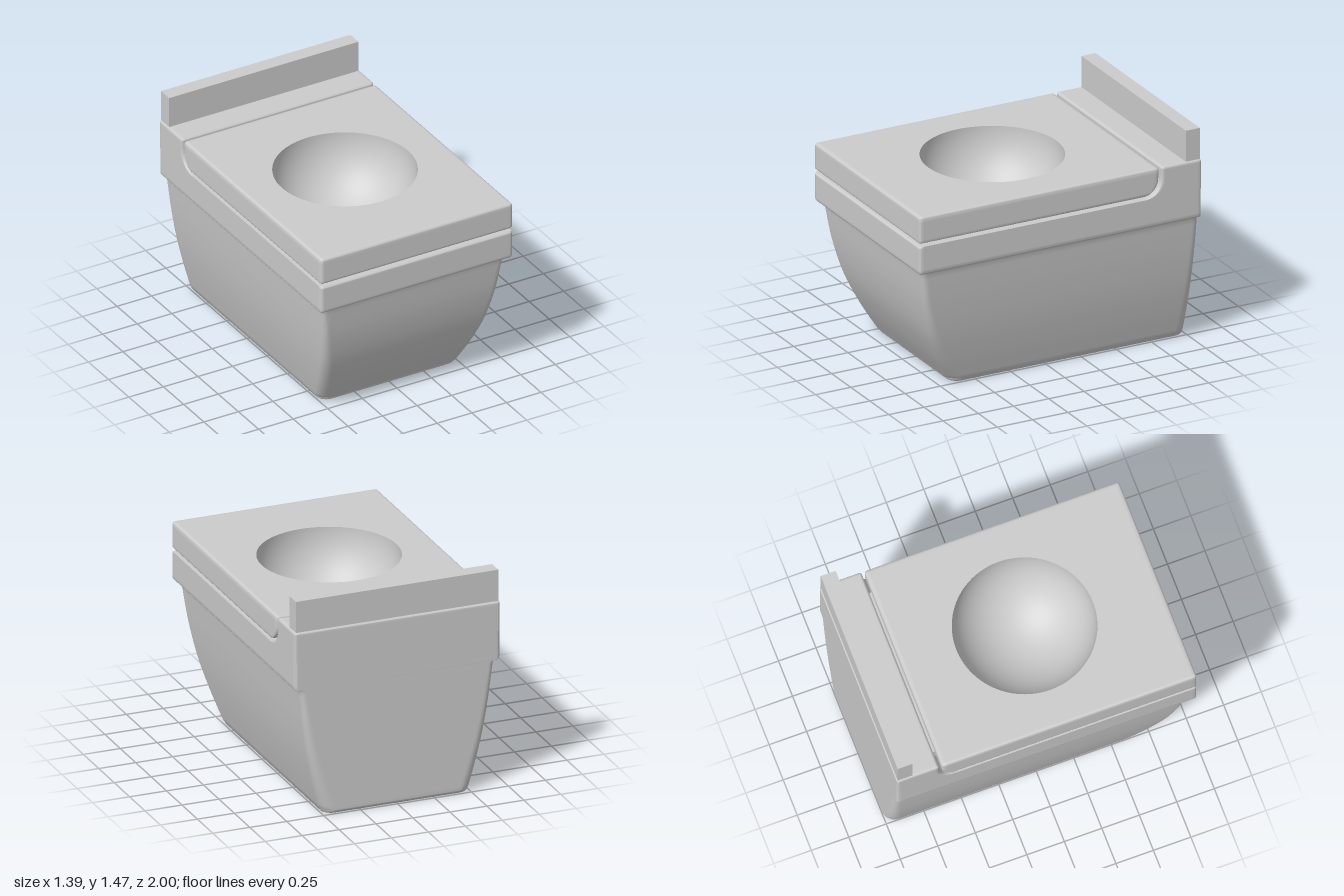
import * as THREE from 'three';
import { mergeGeometries, toCreasedNormals } from 'three/addons/utils/BufferGeometryUtils.js';

const grey = new THREE.MeshStandardMaterial({ color: 0xcccccc, side: THREE.DoubleSide });
const W = 0.695;                                   // half width of rim and lid
const DISH = { z: 0.11, r: 0.455, top: 1.26 };     // round hollow in the lid

// Horizontal rounded rectangle: half width, front z, back z, corner radius, inset
const row = (y, w, zf, zb, r = 0.02, d = 0) =>
  ({ y, w: w - d, zf: zf - d, zb: zb + d, r: Math.max(r - d, 0.004) });

// Outline points [x, z]; an extra point beside each corner keeps the flats flat
function outline({ w, zf, zb, r }) {
  const pts = [], N = 6, s = 0.012;
  [[1, 1], [-1, 1], [-1, -1], [1, -1]].forEach(([sx, sz], k) => {
    const cx = sx * (w - r), cz = sz > 0 ? zf - r : zb + r, a0 = k * Math.PI / 2;
    const ux = Math.cos(a0), uz = Math.sin(a0);
    pts.push([cx + r * ux + s * uz, cz + r * uz - s * ux]);
    for (let i = 0; i <= N; i++) {
      const a = a0 + (i / N) * Math.PI / 2;
      pts.push([cx + r * Math.cos(a), cz + r * Math.sin(a)]);
    }
    pts.push([cx - r * uz - s * ux, cz + r * ux - s * uz]);
  });
  return pts;
}

// Wall through a stack of rows, bottom to top
function wall(rows) {
  const loops = rows.map(outline), n = loops[0].length, pos = [], index = [];
  loops.forEach((l, i) => l.forEach(([x, z]) => pos.push(x, rows[i].y, z)));
  for (let i = 0; i < rows.length - 1; i++) {
    for (let j = 0; j < n; j++) {
      const a = i * n + j, b = i * n + (j + 1) % n;
      index.push(a, a + n, b, b, a + n, b + n);
    }
  }
  const g = new THREE.BufferGeometry();
  g.setAttribute('position', new THREE.Float32BufferAttribute(pos, 3));
  g.setIndex(index);
  return g.toNonIndexed();
}

// Flat cap on a row, facing up (dir 1) or down (dir -1), optionally with the round hole
function cap(r, dir, hole = false) {
  const shape = new THREE.Shape(outline(r).map(([x, z]) => new THREE.Vector2(x, -dir * z)));
  if (hole) {
    const h = new THREE.Path();
    h.absarc(0, -dir * DISH.z, DISH.r, 0, Math.PI * 2, true);
    shape.holes.push(h);
  }
  const g = new THREE.ShapeGeometry(shape, 36).rotateX(-dir * Math.PI / 2).translate(0, r.y, 0);
  g.deleteAttribute('uv');
  g.deleteAttribute('normal');
  return g.toNonIndexed();
}

// Quarter-round steps: f(inset, distance from the flat face), from the wall to the face
function fillet(r, f) {
  const out = [];
  for (let i = 0; i <= 5; i++) {
    const a = (i / 5) * Math.PI / 2;
    out.push(f(r * (1 - Math.cos(a)), r * (1 - Math.sin(a))));
  }
  return [...out, f(r + 0.012, 0)];
}

function createModel() {
  const group = new THREE.Group();
  const add = (name, geo) => {
    const m = new THREE.Mesh(geo, grey);
    m.name = name;
    group.add(m);
  };
  const addParts = (name, parts) => add(name, toCreasedNormals(mergeGeometries(parts), 0.65));

  // Bowl: tapers down, front curves back, rear is flat
  const sides = new THREE.SplineCurve([[0.505, 0.03], [0.55, 0.2], [0.594, 0.4], [0.628, 0.62], [0.653, 0.845]]
    .map(p => new THREE.Vector2(...p)));
  const front = new THREE.SplineCurve([[0.685, 0.03], [0.78, 0.2], [0.867, 0.4], [0.925, 0.62], [0.958, 0.845]]
    .map(p => new THREE.Vector2(...p)));
  const bowl = fillet(0.025, (d, h) => row(h, 0.5, 0.672, -1, 0.08, d)).reverse();
  for (let i = 0; i <= 20; i++) {
    const p = sides.getPoint(i / 20), q = front.getPoint(i / 20);
    bowl.push(row(p.y, p.x, q.x, -1, 0.08 - 0.05 * i / 20));
  }
  bowl.push(row(0.858, 0.658, 0.962, -1, 0.03), row(0.866, 0.675, 0.98, -1));
  addParts('bowl', [cap(bowl[0], -1), wall(bowl)]);

  // Rim with its flat ledge, and the raised block behind the lid
  const rim = [
    ...fillet(0.022, (d, h) => ({ ...row(0.866 + h, W, 1, -1, 0.02, d), zb: -1 })).reverse(),
    row(0.9, W, 1, -1), row(1.035, W, 1, -1),
    ...fillet(0.014, (d, h) => row(1.06 - h, W, 1 - d, -1)),
  ];
  const block = [];
  for (let i = 0; i <= 10; i++) {
    const a = (i / 10) * Math.PI / 2;
    block.push(row(1.19 - 0.13 * Math.cos(a), W, -0.59 - 0.13 * Math.sin(a), -1, 0.015));
  }
  block.push(row(1.235, W, -0.72, -1, 0.015),
    ...fillet(0.014, (d, h) => row(1.26 - h, W, -0.72, -1, 0.015, d)));
  addParts('rim', [wall(rim), cap(rim.at(-1), 1, true), wall(block), cap(block.at(-1), 1)]);

  // Lid: rounded slab whose lower rear edge sweeps up in a quarter round
  const lid = [row(1.08, W, 1, -0.585, 0.02, 0.027)];
  for (let i = 0; i <= 14; i++) {
    const a = (i / 14) * Math.PI / 2, h = 0.11 * (1 - Math.cos(a)), t = Math.min(h / 0.015, 1);
    lid.push(row(1.08 + h, W, 1, -0.59 - 0.11 * Math.sin(a), 0.02, 0.015 * (1 - Math.sqrt(1 - (1 - t) ** 2))));
  }
  lid.push(row(1.225, W, 1, -0.7),
    ...fillet(0.018, (d, h) => row(1.26 - h, W, 1, -0.7, 0.02, d)));
  addParts('lid', [cap(lid[0], -1, true), wall(lid), cap(lid.at(-1), 1, true)]);

  // Recessed spacer in the gap between rim and lid
  addParts('spacer', [wall([row(1.05, 0.565, 0.905, -0.62, 0.05), row(1.09, 0.565, 0.905, -0.62, 0.05)])]);
  add('rearSpacer', new THREE.BoxGeometry(1.13, 0.14, 0.12).translate(0, 1.13, -0.665));

  // Hemispherical hollow
  const dish = new THREE.SphereGeometry(DISH.r, 72, 24, 0, Math.PI * 2, Math.PI / 2, Math.PI / 2);
  add('dish', dish.translate(0, DISH.top, DISH.z));

  // Upright back plate
  add('backPlate', new THREE.BoxGeometry(1.37, 0.21, 0.1).translate(0, 1.365, -0.943));
  return group;
}

export { createModel };
